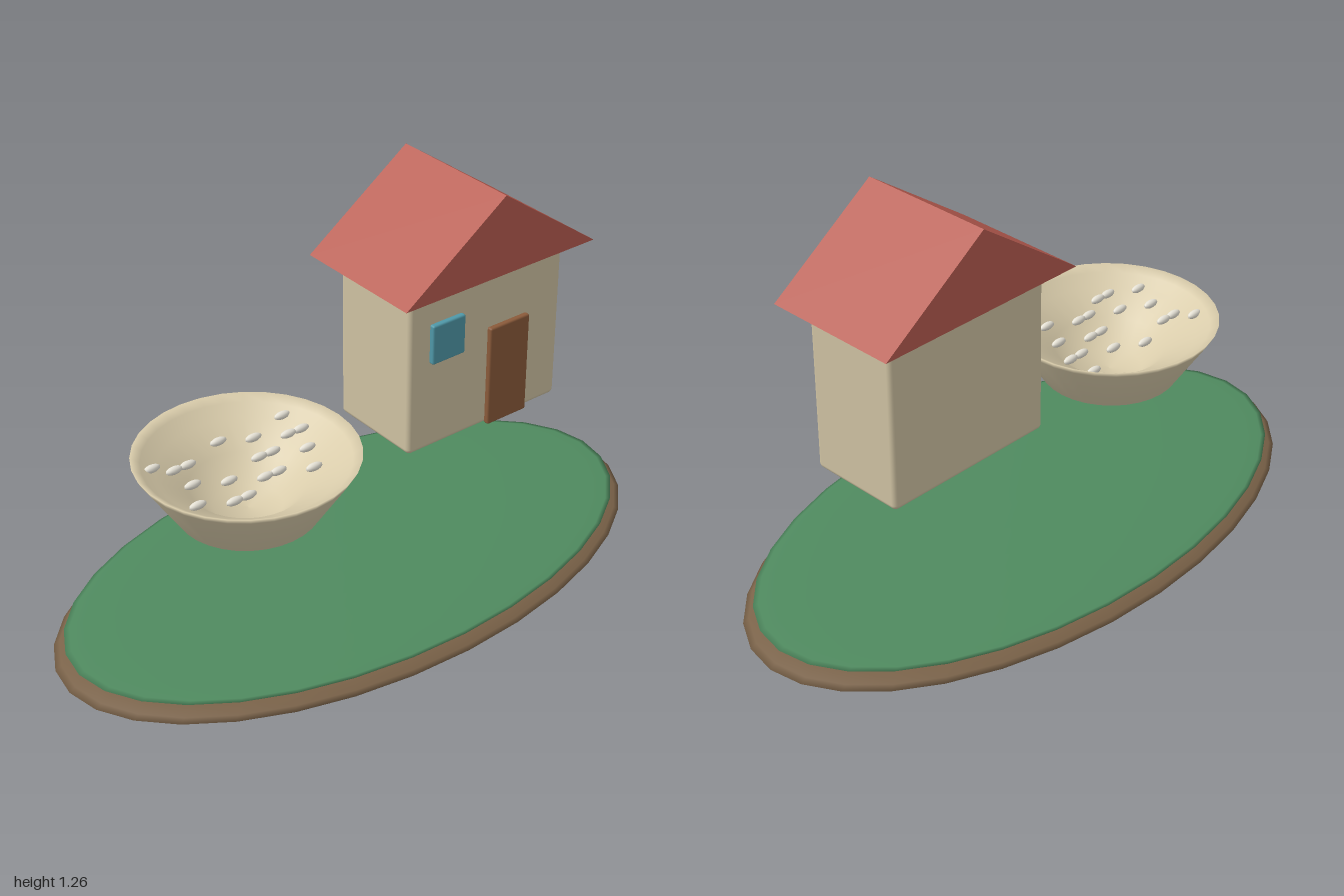
import * as THREE from 'three';
import { RoundedBoxGeometry } from 'three/addons/geometries/RoundedBoxGeometry.js';

const mat = (color, side = THREE.FrontSide) => new THREE.MeshStandardMaterial({ color, side });

function add(parent, name, geometry, material, x, y, z) {
  const mesh = new THREE.Mesh(geometry, material);
  mesh.name = name;
  mesh.position.set(x, y, z);
  parent.add(mesh);
  return mesh;
}

// Flattened sphere with the given half sizes
const ellipsoid = (rx, ry, rz, w = 32, h = 16) => new THREE.SphereGeometry(1, w, h).scale(rx, ry, rz);

function createIsland() {
  const island = new THREE.Group();
  island.name = 'island';
  add(island, 'earth', ellipsoid(1, 0.057, 0.547), mat(0x7a6248), 0, 0.06, 0);
  add(island, 'grass', ellipsoid(0.965, 0.015, 0.526), mat(0x4f8a5f), 0, 0.106, 0);
  return island;
}

function createHouse() {
  const house = new THREE.Group();
  house.name = 'house';
  house.position.set(0.37, 0, 0.0025);
  add(house, 'walls', new RoundedBoxGeometry(0.575, 0.526, 0.315, 3, 0.016), mat(0xd0c3a3), 0, 0.751, 0);

  // Gable roof, extruded from front to back
  const gable = new THREE.Shape([
    new THREE.Vector2(-0.353, 1.013),
    new THREE.Vector2(0.353, 1.013),
    new THREE.Vector2(0, 1.262),
  ]);
  const roof = new THREE.ExtrudeGeometry(gable, { depth: 0.435, bevelEnabled: false });
  add(house, 'roof', roof, mat(0xb85c50), 0, 0, -0.2175);

  add(house, 'door', new RoundedBoxGeometry(0.15, 0.326, 0.02, 2, 0.006), mat(0x8a5a3a), 0.079, 0.653, 0.165);
  add(house, 'window', new RoundedBoxGeometry(0.12, 0.126, 0.02, 2, 0.006), mat(0x4f98a8), -0.157, 0.84, 0.167);
  return house;
}

function createBowl() {
  const bowl = new THREE.Group();
  bowl.name = 'bowlOfGrains';
  bowl.position.set(-0.375, 0, 0);

  // Outside from the foot up to the rim, then down the hollow
  const profile = [
    [0, 0.367], [0.115, 0.367], [0.21, 0.417], [0.318, 0.585], [0.328, 0.604],
    [0.3, 0.587], [0.26, 0.555], [0.17, 0.5], [0.1, 0.43], [0, 0.42],
  ].map(([r, y]) => new THREE.Vector2(r, y));
  add(bowl, 'bowl', new THREE.LatheGeometry(profile, 32), mat(0xd8cbaa, THREE.DoubleSide), 0, 0, 0);

  // Grains on a regular lattice: columns filled in each row, back to front
  const rows = [[0, 5, 10], [1, 2, 7], [9, 10], [1, 6, 7], [3, 9], [0, 5, 6], [2, 3, 8]];
  const grain = ellipsoid(0.028, 0.012, 0.0125, 12, 8);
  const grainMat = mat(0xe6e2d6);
  rows.forEach((columns, row) => {
    for (const c of columns) {
      add(bowl, 'grain', grain, grainMat, (c - 5) * 0.0455, 0.571, -0.14 + row * 0.0455);
    }
  });
  return bowl;
}

export function createModel() {
  const model = new THREE.Group();
  model.name = 'floatingHouseAndBowl';
  model.add(createIsland(), createHouse(), createBowl());
  return model;
}
